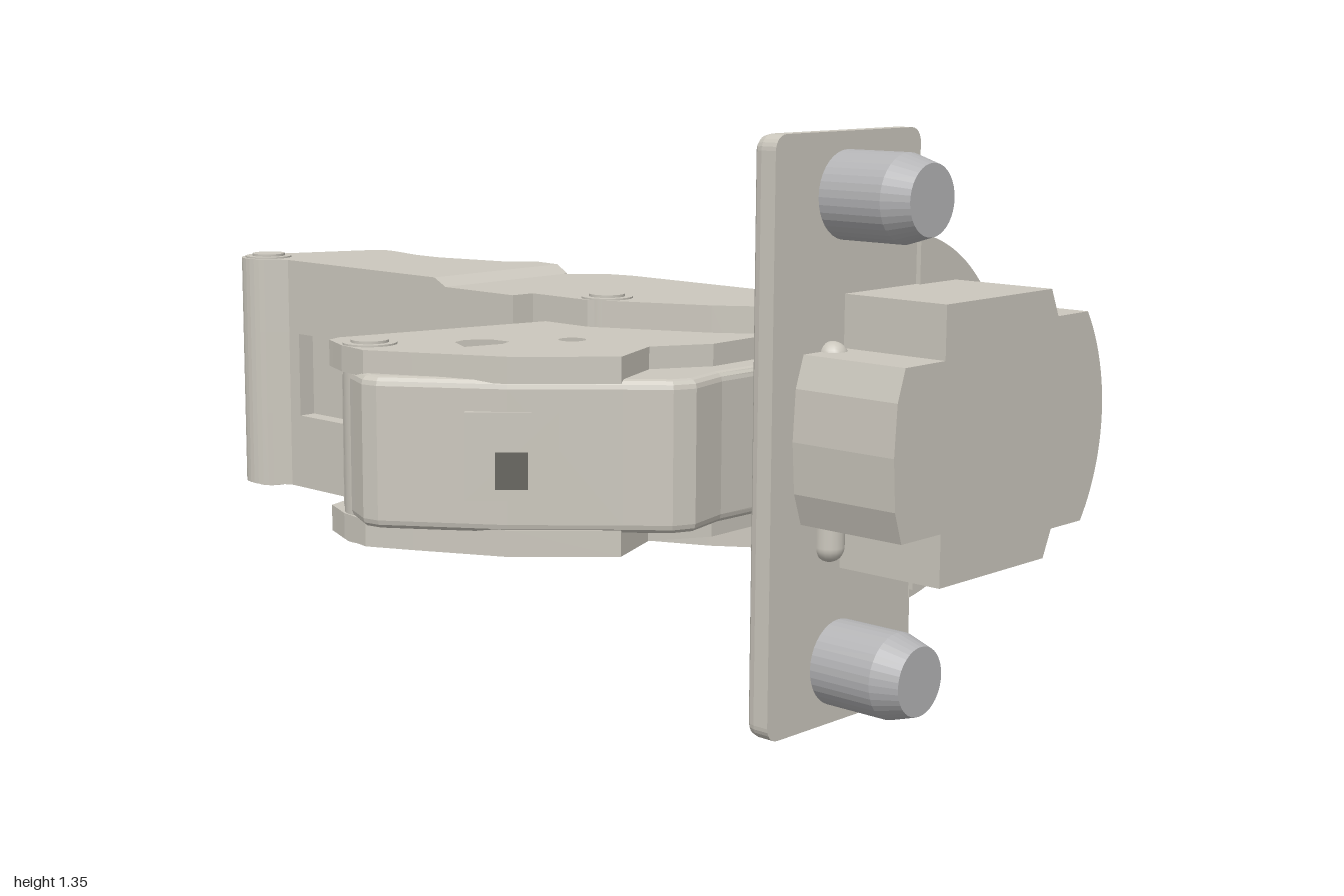
import * as THREE from 'three';

const C = 0.6725; // mid height, the mirror plane
const steel = new THREE.MeshStandardMaterial({ color: 0xcbc7bd });
const dowelMat = new THREE.MeshStandardMaterial({ color: 0xb4b4b6 });
const darkMat = new THREE.MeshStandardMaterial({ color: 0x66655f });

export function createModel() {
  const model = new THREE.Group();
  const add = (name, geo, mat = steel) => {
    const m = new THREE.Mesh(geo, mat);
    m.name = name;
    model.add(m);
    return m;
  };
  const arc = (cx, cy, r, a0, a1, n = 12) => Array.from({ length: n + 1 }, (_, i) => {
    const a = a0 + (a1 - a0) * i / n;
    return [cx + r * Math.cos(a), cy + r * Math.sin(a)];
  });
  const toShape = (pts, holes = []) => {
    const s = new THREE.Shape(pts.map(p => new THREE.Vector2(p[0], p[1])));
    s.holes = holes.map(h => new THREE.Path(h.map(p => new THREE.Vector2(p[0], p[1]))));
    return s;
  };
  const extrude = (shape, depth, b = 0) => {
    const g = new THREE.ExtrudeGeometry(shape, {
      depth: depth - 2 * b, bevelEnabled: b > 0, bevelSize: b, bevelThickness: b, bevelOffset: -b, bevelSegments: 3,
    });
    return g.translate(0, 0, b);
  };
  const flip = pts => pts.map(([x, z]) => [x, -z]);
  // Plan outline in (x, z), extruded from y0 to y1
  const plan = (name, pts, y0, y1, { holes = [], b = 0 } = {}) =>
    add(name, extrude(toShape(flip(pts), holes.map(flip)), y1 - y0, b).rotateX(-Math.PI / 2).translate(0, y0, 0));
  const planSym = (name, pts, h, o) => plan(name, pts, C - h, C + h, o);
  const planPair = (name, pts, y0, y1, o) => {
    plan(name, pts, y0, y1, o);
    plan(name, pts, 2 * C - y1, 2 * C - y0, o);
  };
  // Front outline in (x, y), extruded from z0 to z1
  const front = (name, pts, z0, z1, holes) => add(name, extrude(toShape(pts, holes), z1 - z0).translate(0, 0, z0));
  // Upright pivot pin with a stepped head at both ends
  const pin = (name, x, z, h, r = 0.06) => {
    for (const [rr, hh] of [[r, h + 0.004], [r * 0.7, h + 0.01]])
      add(name, new THREE.CylinderGeometry(rr, rr, 2 * hh, 28).translate(x, C, z));
  };

  // Rear cover in three layers, the middle one with a window recess in its side
  const rearCover = notch => [
    [-0.205, -0.26], ...(notch ? [[-0.205, -0.42], [-0.16, -0.42], [-0.16, -0.79], [-0.205, -0.79]] : []),
    [-0.205, -0.83], ...arc(-0.19, -0.93, 0.07, Math.PI * 0.7, Math.PI * 1.62, 14),
    [0.12, -0.87], [0.14, -0.85], [0.14, -0.81], [0.115, -0.69], [0.115, -0.6], [0.165, -0.41], [0.225, -0.35], [0.215, -0.26],
  ];
  planPair('rearCover', rearCover(false), 0.78, 0.97);
  plan('rearCoverWindow', rearCover(true), 2 * C - 0.78, 0.78);

  // Sloped step between rear cover and arm
  const step = planSym('coverStep', [[-0.205, -0.26], [-0.205, -0.22], [0.21, -0.22], [0.215, -0.26]], 0.2975);
  const sp = step.geometry.attributes.position;
  for (let i = 0; i < sp.count; i++)
    if (sp.getZ(i) > -0.23) sp.setY(i, C + Math.sign(sp.getY(i) - C) * 0.2775);
  step.geometry.computeVertexNormals();

  // Main arm
  planSym('mainArm', [
    [-0.205, -0.22], [-0.205, 0.015], [-0.145, 0.02], [-0.145, 0.2], [-0.02, 0.47], [0.11, 0.655], [0.32, 0.655],
    [0.335, 0.62], [0.335, 0.52], [0.29, 0.42], [0.29, -0.07], [0.275, -0.13], [0.215, -0.19], [0.2, -0.22],
  ], 0.2775);

  // Channel along the left side, widening towards the cup
  planSym('sideChannel', [
    [0.05, -0.84], [0.14, -0.85], [0.34, -0.835], [0.355, -0.8], [0.355, -0.68], [0.368, -0.62], [0.368, 0.18],
    [0.44, 0.195], [0.475, 0.225], [0.475, 0.3], [0.455, 0.69], [0.44, 0.715], [0.405, 0.7], [0.3, 0.65], [0.05, 0.6],
  ], 0.215);
  plan('channelPanel', [[0.35, -0.66], [0.373, -0.6], [0.373, 0.17], [0.35, 0.17]], 0.495, 0.85);
  planSym('linkArm', [[0.29, 0.42], [0.33, 0.43], [0.46, 0.58], [0.455, 0.71], [0.32, 0.66]], 0.228);

  // Release clip, end pin and lever on the channel
  plan('releaseClip', [
    [0.35, -0.78], [0.37, -0.75], [0.42, -0.71], [0.435, -0.68], [0.435, -0.61], [0.395, -0.61], [0.39, -0.65], [0.35, -0.67],
  ], 0.52, 0.82);
  add('clipPin', new THREE.CylinderGeometry(0.028, 0.028, 0.41, 20).translate(0.31, C, -0.85));
  planSym('clipLever', [
    [0.1, -0.7], [0.125, -0.68], [0.315, -0.48], [0.325, -0.41], [0.31, -0.37], [0.28, -0.355], [0.23, -0.36], [0.13, -0.42],
  ], 0.247);

  // Folded side wing: inner block between two perforated cheeks
  planSym('wingBlock', [
    [-0.63, -0.03], [-0.14, 0.09], [-0.02, 0.47], [0.11, 0.66], [-0.2, 0.66], [-0.31, 0.685], [-0.36, 0.665],
    [-0.43, 0.585], [-0.6, 0.41], [-0.765, 0.18], [-0.772, 0.14], [-0.745, 0.08], [-0.71, 0.0],
  ], 0.166, { b: 0.02 });
  planPair('wingCheek', [
    [-0.71, -0.03], [-0.7, -0.055], [-0.66, -0.068], [-0.14, 0.065], [-0.1, 0.2], [0.0, 0.47], [0.06, 0.585],
    [-0.15, 0.59], [-0.28, 0.52], [-0.43, 0.58], [-0.6, 0.41], [-0.7, 0.22], [-0.75, 0.12], [-0.735, 0.03],
  ], 0.83, 0.888, {
    holes: [
      [[-0.565, 0.24], [-0.53, 0.17], [-0.49, 0.16], [-0.445, 0.2], [-0.44, 0.25], [-0.475, 0.265]],
      arc(-0.32, 0.325, 0.031, 0, Math.PI * 1.9, 19),
    ],
  });
  // Raised pad and slot on the slanted wing face
  const face = (name, w, h, out, mat) => {
    const m = add(name, new THREE.BoxGeometry(w, h, 0.02), mat);
    m.position.set(-0.595 - 0.8 * out, 0.645 + (h > 0.1 ? 0.03 : 0), 0.417 + 0.6 * out);
    m.rotation.y = -0.8;
    return m;
  };
  face('wingPad', 0.2, 0.19, -0.006);
  face('wingSlot', 0.07, 0.08, -0.002, darkMat);

  // Pivots
  pin('rearPivot', -0.19, -0.93, 0.2975);
  pin('armPivot', -0.08, 0.2, 0.2775);
  pin('wingPivot', -0.675, 0.055, 0.2155);
  pin('cupPivot', 0.64, 0.8, 0.247, 0.05);

  // Mounting plate, rounded on its rear edges only
  const r = 0.035, [px0, px1, py0, py1] = [-0.11, 0.405, 0, 2 * C];
  const plateGeo = extrude(toShape([
    ...arc(px1 - r, py0 + r, r, -Math.PI / 2, 0, 6), ...arc(px1 - r, py1 - r, r, 0, Math.PI / 2, 6),
    ...arc(px0 + r, py1 - r, r, Math.PI / 2, Math.PI, 6), ...arc(px0 + r, py0 + r, r, Math.PI, Math.PI * 1.5, 6),
  ]), 0.12, 0.03).translate(0, 0, 0.655);
  const pp = plateGeo.attributes.position;
  for (let i = 0; i < pp.count; i++) pp.setZ(i, Math.min(pp.getZ(i), 0.725));
  plateGeo.computeVertexNormals();
  add('mountingPlate', plateGeo);

  // Dowels in front, cross-head screws behind
  const dowel = [[0, 0], [0.1, 0], [0.1, 0.17], [0.08, 0.235], [0, 0.235]].map(p => new THREE.Vector2(...p));
  for (const y of [0.14, 2 * C - 0.14]) {
    const g = new THREE.LatheGeometry(dowel, 36).toNonIndexed();
    g.computeVertexNormals();
    add('dowel', g.rotateX(Math.PI / 2).translate(0.137, y, 0.72), dowelMat);
    add('screwRim', new THREE.TorusGeometry(0.075, 0.008, 8, 32).translate(0.137, y, 0.655));
    for (const a of [0.3, 0.3 + Math.PI / 2])
      add('screwCross', new THREE.BoxGeometry(0.09, 0.02, 0.01).rotateZ(a).translate(0.137, y, 0.655), darkMat);
  }

  // Cup: closed front, hollow behind and open towards the left side
  const R = 0.435, cx = 0.335;
  const cornerAngle = Math.asin(0.2475 / R);
  const rim = arc(cx, C, R, -cornerAngle, cornerAngle, 24);
  const body = [[0.57, 0.92], [0.54, 0.985], [0.137, 0.985], [0.137, 0.863], [-0.005, 0.863], [-0.03, 0.79],
    [-0.038, C], [-0.03, 0.555], [-0.005, 0.482], [0.137, 0.482], [0.137, 0.36], [0.54, 0.36], [0.57, 0.425]];
  front('cupFace', [...rim, ...body], 0.95, 1);
  front('cupRim', [...rim, ...body], 0.855, 0.95, [[[0.16, 0.455], [0.7, 0.455], [0.7, 0.89], [0.16, 0.89]]]);
  front('cupWall', [[0.7, 0.89], [0.7, 0.92], ...body, [0.7, 0.425], [0.7, 0.455], [0.16, 0.455], [0.16, 0.89]], 0.72, 0.855);

  // Circular flange segments above and below the cup opening
  const flange = (rr, xEnd, yIn) => {
    const a0 = Math.acos((xEnd - cx) / rr), a1 = Math.acos((0.4 - cx) / rr);
    return [...arc(cx, C, rr, a0, a1, 16), [0.4, yIn], [xEnd, yIn]];
  };
  for (const [pts, z0, z1] of [[flange(R, 0.703, 0.89), 0.7, 0.728], [flange(0.415, 0.62, 0.95), 0.72, 0.737]]) {
    front('cupFlange', pts, z0, z1);
    front('cupFlange', pts.map(([x, y]) => [x, 2 * C - y]), z0, z1);
  }

  // Curved link entering the cup, and the keeper pin behind it
  planSym('cupLink', [
    [0.42, 0.66], [0.47, 0.665], [0.53, 0.72], ...arc(0.62, 0.79, 0.062, -Math.PI / 2, Math.PI / 2, 10), [0.5, 0.84], [0.42, 0.74],
  ], 0.216);
  add('keeperPin', new THREE.CapsuleGeometry(0.035, 0.43, 6, 16).translate(0.085, 0.635, 0.735));

  return model;
}
